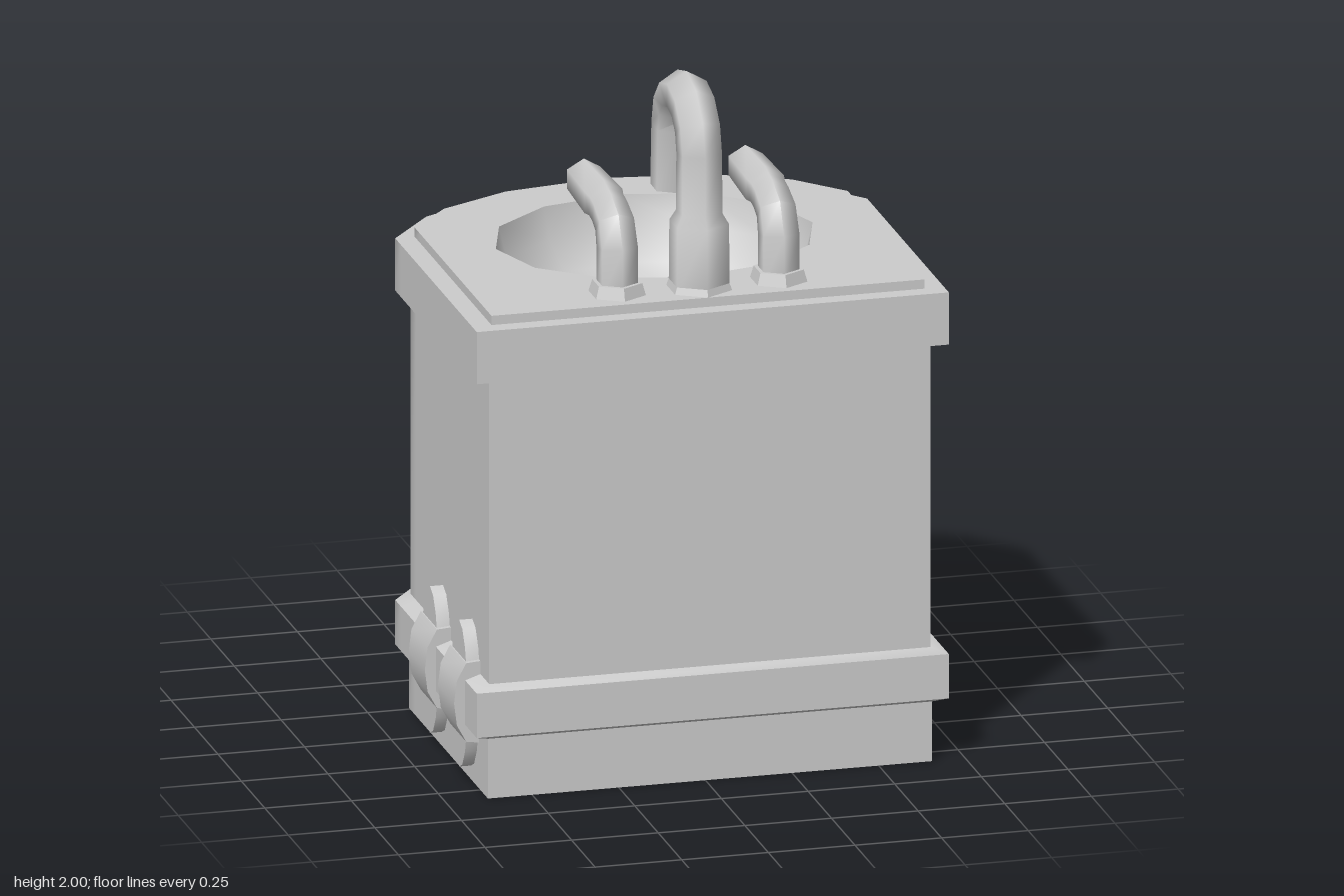
import * as THREE from 'three';
import { toCreasedNormals } from 'three/addons/utils/BufferGeometryUtils.js';

const CX = 0.013; // centre line of the cabinet
const grey = new THREE.MeshStandardMaterial({ color: 0xcccccc, side: THREE.DoubleSide });
grey.name = 'plain grey';

// Skin a list of equal-length closed rings, optionally capping the last one
function loft(rings, cap, crease) {
  const n = rings[0].length, index = [];
  for (let r = 0; r + 1 < rings.length; r++) {
    for (let i = 0; i < n; i++) {
      const j = (i + 1) % n, a = r * n, b = a + n;
      index.push(a + i, a + j, b + j, a + i, b + j, b + i);
    }
  }
  const last = (rings.length - 1) * n;
  if (cap) for (let i = 1; i + 1 < n; i++) index.push(last, last + i, last + i + 1);
  const g = new THREE.BufferGeometry();
  g.setAttribute('position', new THREE.Float32BufferAttribute(rings.flat(2), 3));
  g.setIndex(index);
  return toCreasedNormals(g, crease);
}

// Straight front and sides with a faceted bow at the back
function outline(y, halfWidth, front, back) {
  const side = -0.26;
  const half = [[1, front], [1, -0.2], [1, side]];
  for (const [u, t] of [[0.803, 0.485], [0.474, 0.843]]) half.push([u, side + t * (back - side)]);
  const mirrored = half.map(([u, z]) => [-u, z]).reverse();
  return [...half, [0, back], ...mirrored].map(([u, z]) => [CX + u * halfWidth, y, z]);
}

// Hexagonal pipe through [z, y, radius] stations in the plane x = 0
function pipe(path) {
  const rings = path.map(([z, y, r], i) => {
    const p = path[Math.max(i - 1, 0)], q = path[Math.min(i + 1, path.length - 1)];
    const len = Math.hypot(q[0] - p[0], q[1] - p[1]);
    const tz = (q[0] - p[0]) / len, ty = (q[1] - p[1]) / len;
    return Array.from({ length: 6 }, (_, k) => {
      const c = r * Math.cos(k * Math.PI / 3), s = r * Math.sin(k * Math.PI / 3);
      return [s, y - tz * c, z + ty * c];
    });
  });
  return loft(rings, true, 1.15);
}

export function createModel() {
  const model = new THREE.Group();
  model.name = 'washbasinCabinet';
  const add = (name, geometry, x = 0, y = 0, z = 0, parent = model) => {
    const mesh = new THREE.Mesh(geometry, grey);
    mesh.name = name;
    mesh.position.set(x, y, z);
    parent.add(mesh);
    return mesh;
  };

  // Cabinet shell, open below: plinth, lower band, body, upper band, top step
  add('cabinet', loft([
    [0, 0.641, 0.58, -0.574], [0.175, 0.641, 0.58, -0.574],
    [0.19, 0.681, 0.61, -0.614], [0.32, 0.681, 0.61, -0.614],
    [0.335, 0.637, 0.58, -0.566], [1.227, 0.637, 0.58, -0.566],
    [1.227, 0.681, 0.61, -0.6], [1.38, 0.681, 0.61, -0.6],
    [1.38, 0.625, 0.56, -0.55], [1.407, 0.625, 0.56, -0.55],
  ].map((r) => outline(...r)), false, 0.75));

  // Counter top with the basin opening
  const top = new THREE.Shape(outline(0, 0.625, 0.56, -0.55).map(([x, , z]) => new THREE.Vector2(x, -z)));
  const rim = Array.from({ length: 12 }, (_, i) => {
    const a = i * Math.PI / 6;
    return new THREE.Vector2(CX + 0.457 * Math.cos(a), 0.015 + 0.383 * Math.sin(a));
  });
  top.holes.push(new THREE.Path(rim));
  add('counterTop', new THREE.ShapeGeometry(top).rotateX(-Math.PI / 2), 0, 1.407, 0);

  // Bowl
  const bowl = Array.from({ length: 6 }, (_, i) => {
    const a = i * Math.PI / 10;
    return new THREE.Vector2(Math.cos(a), -0.3 * Math.sin(a));
  });
  add('bowl', new THREE.LatheGeometry(bowl, 12).scale(0.457, 1, 0.383), CX, 1.407, -0.015);

  const flange = (r) => toCreasedNormals(new THREE.CylinderGeometry(r * 0.87, r, 0.035, 6), 0.5);

  // Spout: collar, riser, arch and short drop
  const spout = [[0.465, 1.407, 0.088], [0.465, 1.6, 0.086], [0.465, 1.63, 0.067]];
  for (let i = 0; i <= 6; i++) {
    const a = i * Math.PI / 6;
    spout.push([0.332 + 0.133 * Math.cos(a), 1.8 + 0.133 * Math.sin(a), 0.066]);
  }
  spout.push([0.195, 1.62, 0.068]);
  add('spout', pipe(spout), CX);
  add('spoutFlange', flange(0.095), CX, 1.424, 0.465);

  // Taps: riser, elbow and tapering lever
  for (const side of [-1, 1]) {
    const tap = new THREE.Group();
    tap.name = side < 0 ? 'rightTap' : 'leftTap';
    tap.position.x = CX + side * 0.233;
    model.add(tap);
    add('tapPipe', pipe([
      [0.452, 1.407, 0.06], [0.452, 1.54, 0.06], [0.425, 1.6, 0.058], [0.37, 1.622, 0.056],
      [0.335, 1.628, 0.056], [0.305, 1.63, 0.063], [0.095, 1.632, 0.056],
    ]), 0, 0, 0, tap);
    add('tapFlange', flange(0.083), 0, 1.424, 0.452, tap);
  }

  // Oval side plates with a rounded clasp over the lower band
  const oval = new THREE.Shape().absellipse(0, 0, 0.088, 0.215, 0, Math.PI * 2);
  const clasp = new THREE.Shape([
    [0.6, 0.13], [0.665, 0.14], [0.692, 0.19], [0.7, 0.255], [0.692, 0.32], [0.665, 0.37], [0.6, 0.375],
  ].map(([x, y]) => new THREE.Vector2(-x, y)));
  for (const z of [0.088, 0.4]) {
    const plate = new THREE.ExtrudeGeometry(oval, { depth: 0.045, bevelEnabled: false, curveSegments: 8 });
    add('sidePlate', toCreasedNormals(plate.rotateY(-Math.PI / 2), 0.8), -0.617, 0.255, z);
    const block = new THREE.ExtrudeGeometry(clasp, { depth: 0.172, bevelEnabled: false });
    add('sideClasp', toCreasedNormals(block, 0.6), 0, 0, z - 0.086);
  }

  return model;
}
